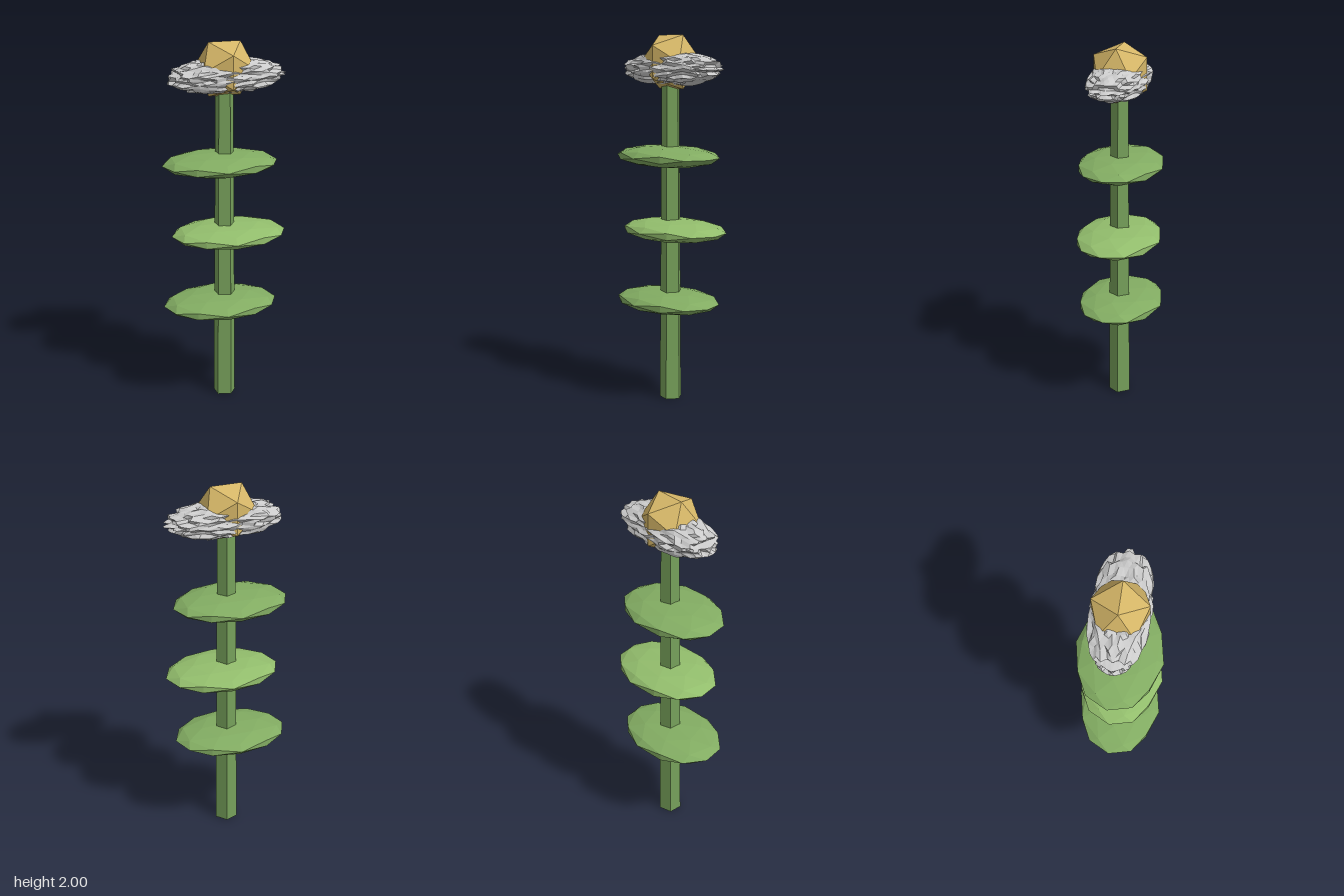
import * as THREE from 'three';

const flat = (color) => new THREE.MeshStandardMaterial({ color, flatShading: true });

function addPart(group, name, geometry, material, x = 0, y = 0) {
  const mesh = new THREE.Mesh(geometry, material);
  mesh.name = name;
  mesh.position.set(x, y, 0);
  group.add(mesh);
  return mesh;
}

// Repeatable 0..1 value for a point, equal on both sides of z = 0
function hash(x, y, z) {
  const key = Math.round(x * 500) * 12.9898 + Math.round(y * 500) * 78.233 + Math.round(Math.abs(z) * 500) * 37.719;
  const s = Math.sin(key) * 43758.5453;
  return s - Math.floor(s);
}

// Rough, spiky blossom: a full-bodied ellipsoid with jittered points
function blossomGeometry(halfX, halfY, halfZ) {
  const geometry = new THREE.IcosahedronGeometry(1, 6);
  const pos = geometry.attributes.position;
  const p = new THREE.Vector3();
  for (let i = 0; i < pos.count; i++) {
    p.fromBufferAttribute(pos, i);
    const k = 2.3;
    const body = (Math.abs(p.x) ** k + Math.abs(p.y) ** k + Math.abs(p.z) ** k) ** (-1 / k);
    const r = body * (0.81 + 0.19 * hash(p.x, p.y, p.z));
    pos.setXYZ(i, p.x * r * halfX, p.y * r * halfY, p.z * r * halfZ);
  }
  geometry.computeVertexNormals();
  return geometry;
}

export function createModel() {
  const model = new THREE.Group();
  model.name = 'flower';

  // Five-sided tapering stem with one edge towards +x
  const stem = new THREE.CylinderGeometry(0.05, 0.063, 1.8, 5);
  stem.rotateY(Math.PI / 2);
  addPart(model, 'stem', stem, flat(0x76a05a), 0, 0.9);

  // Flat oval leaves, shifted to alternate sides
  const leaf = new THREE.IcosahedronGeometry(1, 1);
  leaf.rotateY(-0.1);
  leaf.scale(0.32, 0.06, 0.235);
  const leafMaterials = [flat(0x82ac62), flat(0x92bd6c)];
  for (let i = 0; i < 3; i++) {
    addPart(model, `leaf${i + 1}`, leaf, leafMaterials[i % 2], i % 2 ? 0.025 : -0.025, 0.55 + 0.4 * i);
  }

  // Ragged grey petals around the gold centre
  addPart(model, 'petals', blossomGeometry(0.335, 0.094, 0.158), flat(0xcccccc), 0.01, 1.82);
  addPart(model, 'flowerCentre', new THREE.IcosahedronGeometry(0.168, 0), flat(0xd6b768), 0, 1.857);

  return model;
}
